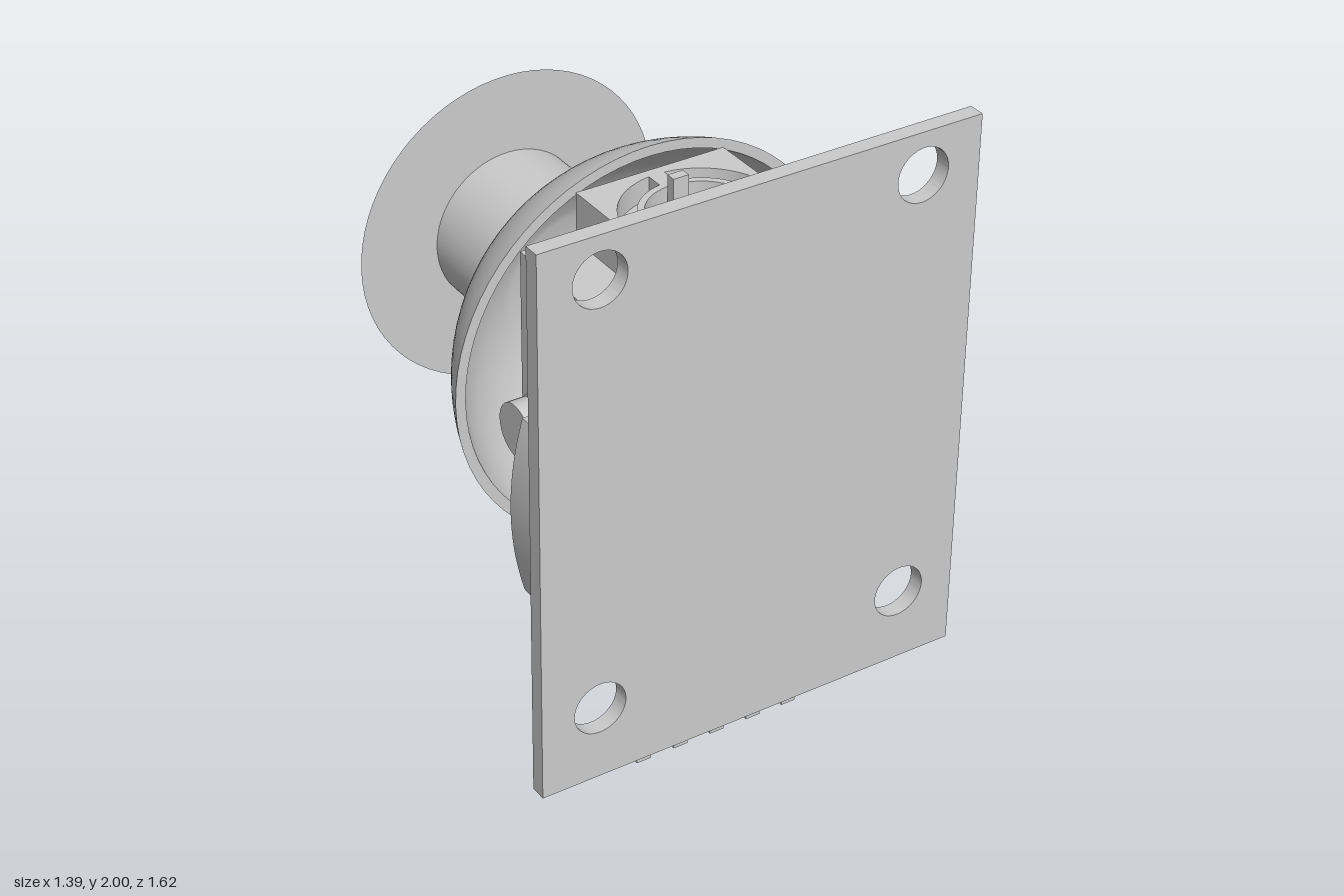
import * as THREE from 'three';
import { toCreasedNormals } from 'three/addons/utils/BufferGeometryUtils.js';

const material = new THREE.MeshStandardMaterial({ color: 0xcccccc });
const CX = 0.06, CY = 1.145, CZ = 0.41; // stick axis and potentiometer depth

export function createModel() {
  const model = new THREE.Group();

  const add = (name, geometry, parent = model) => {
    const mesh = new THREE.Mesh(geometry, material);
    mesh.name = name;
    parent.add(mesh);
    return mesh;
  };
  // Box given by its limits on each axis
  const box = (name, x0, x1, y0, y1, z0, z1, parent) => {
    const g = new THREE.BoxGeometry(x1 - x0, y1 - y0, z1 - z0);
    g.translate((x0 + x1) / 2, (y0 + y1) / 2, (z0 + z1) / 2);
    return add(name, g, parent);
  };
  const rect = (x0, x1, y0, y1) => new THREE.Shape([
    new THREE.Vector2(x0, y0), new THREE.Vector2(x1, y0),
    new THREE.Vector2(x1, y1), new THREE.Vector2(x0, y1),
  ]);
  const circle = (x, y, r) => new THREE.Path().absarc(x, y, r, 0, Math.PI * 2, true);
  const extrude = (shape, depth) => toCreasedNormals(
    new THREE.ExtrudeGeometry(shape, { depth, bevelEnabled: false, curveSegments: 32 }), 0.5);

  // Circuit board with four mounting holes
  const boardShape = rect(-0.7, 0.67, 0.28, 2);
  for (const x of [-0.515, 0.485])
    for (const y of [0.515, 1.87]) boardShape.holes.push(circle(x, y, 0.082));
  add('board', extrude(boardShape, 0.05)).position.z = 0.76;

  // Joystick housing and its bottom plate
  box('housing', -0.34, 0.46, 0.74, 1.55, 0.12, 0.76);
  box('bottomPlate', -0.18, 0.3, 0.69, 0.74, 0.435, 0.76);
  box('bottomClip', -0.1, 0.22, 0.69, 0.74, 0.41, 0.435);

  // Potentiometer: block with two curved slots, a rotor and a staple-shaped wiper
  const potentiometer = (name) => {
    const pot = new THREE.Group();
    pot.name = name;
    const face = rect(-0.24, 0.24, -0.35, 0.26);
    const rOut = 0.23, rIn = 0.177, gap = 0.025;
    const a = Math.asin(gap / rOut), b = Math.asin(gap / rIn);
    for (const start of [-Math.PI / 2, Math.PI / 2]) {
      const slot = new THREE.Path();
      slot.absarc(0, 0, rOut, start + a, start + Math.PI - a, false);
      slot.absarc(0, 0, rIn, start + Math.PI - b, start + b, true);
      slot.closePath();
      face.holes.push(slot);
    }
    face.holes.push(circle(0, 0, 0.157));
    add('potBlock', extrude(face, 0.15).rotateX(-Math.PI / 2), pot);
    add('potFloor', new THREE.CylinderGeometry(0.235, 0.235, 0.08, 48).translate(0, 0.04, 0), pot);
    add('potRotor', new THREE.CylinderGeometry(0.142, 0.142, 0.1, 48).translate(0, 0.05, 0), pot);
    box('wiperBar', -0.025, 0.025, 0.1, 0.135, -0.11, 0.11, pot);
    for (const s of [-1, 1])
      box('wiperProng', -0.025, 0.025, 0.1, 0.2, s * 0.122 - 0.015, s * 0.122 + 0.015, pot);
    model.add(pot);
    return pot;
  };
  potentiometer('topPotentiometer').position.set(CX, 1.55, CZ);
  const sidePot = potentiometer('sidePotentiometer');
  sidePot.position.set(0.46, CY, CZ);
  sidePot.rotation.z = -Math.PI / 2;

  // Thumb stick: hollow dome, neck and mushroom cap turned around one axis
  const arc = (radius, centre, from, to, n) => Array.from({ length: n + 1 }, (_, i) => {
    const t = from + (to - from) * i / n;
    return new THREE.Vector2(Math.max(0, radius * Math.cos(t)), centre + radius * Math.sin(t));
  });
  const domeC = -0.363, capC = 0.044;
  const profile = [
    new THREE.Vector2(0, 0.23),
    ...arc(0.635, domeC, 1.2, Math.asin(0.213 / 0.635), 16),
    ...arc(0.665, domeC, Math.asin(0.213 / 0.665), Math.acos(0.25 / 0.665), 18),
    new THREE.Vector2(0.25, 0.62),
    ...arc(0.766, capC, Math.acos(0.505 / 0.766), Math.PI / 2, 14),
  ];
  const stick = toCreasedNormals(new THREE.LatheGeometry(profile, 72), 0.5);
  add('thumbStick', stick.rotateX(-Math.PI / 2)).position.set(CX, CY, 0);
  add('stickShaft', new THREE.CylinderGeometry(0.1, 0.1, 0.4, 32).rotateX(Math.PI / 2))
    .position.set(CX, CY, 0);

  // Push button on the board: bowed base, body, plunger and corner rivets
  const base = new THREE.Shape();
  base.moveTo(-0.34, 0.87);
  base.lineTo(-0.34, 1.42);
  base.lineTo(-0.655, 1.42);
  base.quadraticCurveTo(-0.735, CY, -0.655, 0.87);
  base.closePath();
  add('buttonBase', extrude(base, 0.105)).position.z = 0.655;
  box('buttonBody', -0.63, -0.34, CY - 0.145, CY + 0.145, 0.597, 0.66);
  const zCylinder = (name, r, x, y, z0, z1) =>
    add(name, new THREE.CylinderGeometry(r, r, z1 - z0, 32).rotateX(Math.PI / 2))
      .position.set(x, y, (z0 + z1) / 2);
  zCylinder('buttonPlunger', 0.088, -0.488, CY, 0.497, 0.6);
  for (const x of [-0.612, -0.362])
    for (const y of [CY - 0.125, CY + 0.125]) zCylinder('buttonRivet', 0.01, x, y, 0.592, 0.6);

  // Shaft end beside the housing that presses the button
  const xCylinder = (name, r, x0, x1, z) =>
    add(name, new THREE.CylinderGeometry(r, r, x1 - x0, 40).rotateZ(Math.PI / 2))
      .position.set((x0 + x1) / 2, CY, z);
  xCylinder('pivotCollar', 0.108, -0.44, -0.34, 0.378);
  xCylinder('pivotTip', 0.083, -0.495, -0.44, 0.343);

  // Pin header, open underneath, with five bent pins
  const frame = rect(-0.26, 0.375, -0.76, -0.61);
  frame.holes.push(rect(-0.22, 0.335, -0.73, -0.64));
  add('headerFrame', extrude(frame, 0.095).rotateX(-Math.PI / 2)).position.y = 0.345;
  box('headerTop', -0.26, 0.375, 0.44, 0.47, 0.61, 0.76);
  const pin = new THREE.Shape([
    [0.76, 0.385], [0.76, 0.405], [0.525, 0.405], [0.515, 0.395],
    [0.515, 0], [0.535, 0], [0.535, 0.385],
  ].map(([z, y]) => new THREE.Vector2(-z, y)));
  for (let i = 0; i < 5; i++) {
    const g = extrude(pin, 0.048).translate(0, 0, -0.024).rotateY(Math.PI / 2);
    add('pin', g).position.x = CX + (i - 2) * 0.127;
  }

  return model;
}
